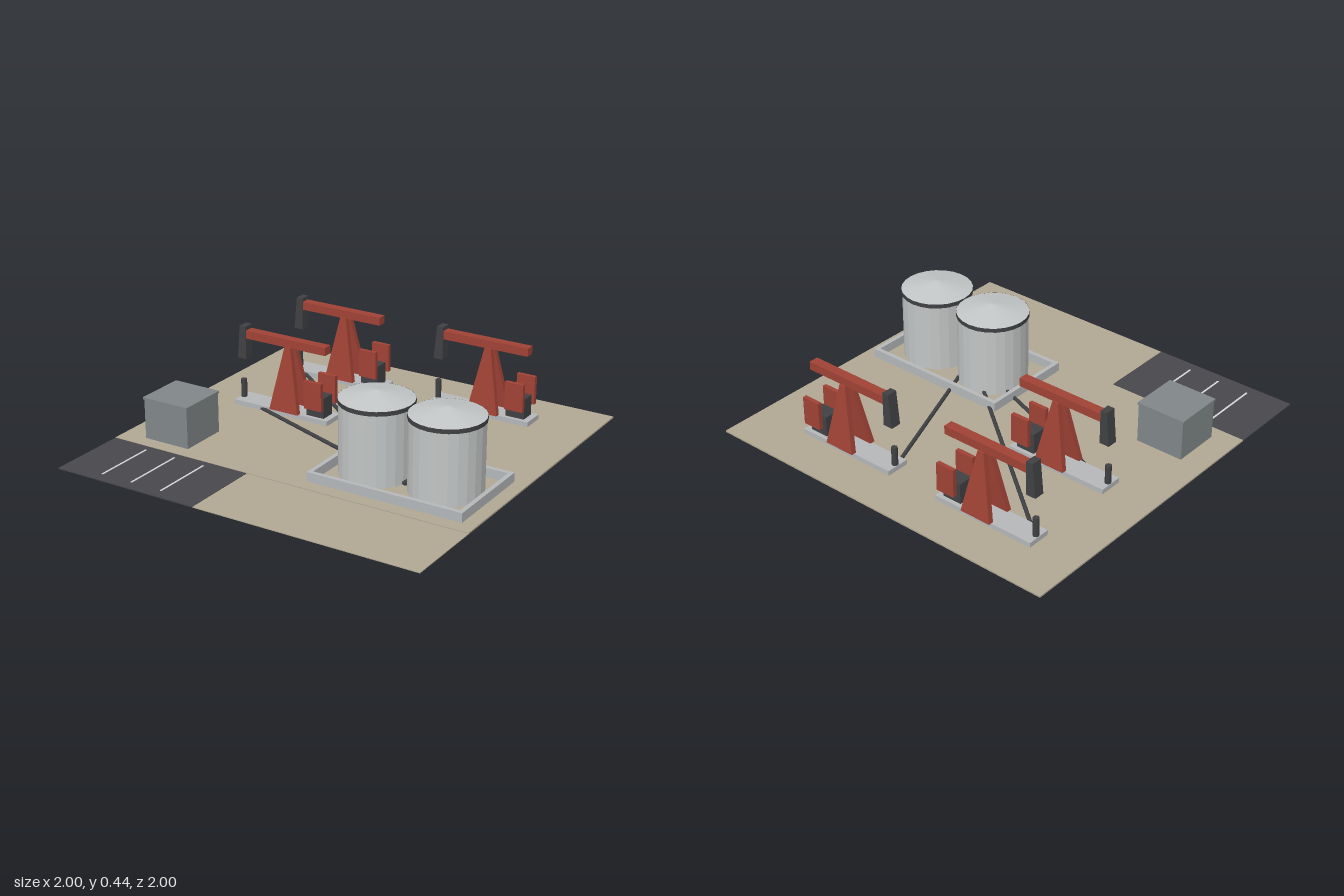
import * as THREE from 'three';

const mat = (name, color, extra = {}) => {
  const m = new THREE.MeshStandardMaterial({ color, ...extra });
  m.name = name;
  return m;
};

export function createModel() {
  const M = {
    sand: mat('sand', 0xb0a792),
    asphalt: mat('asphalt', 0x48474c),
    paint: mat('linePaint', 0xd4d4d2),
    concrete: mat('concrete', 0xb4b7b9),
    red: mat('redSteel', 0xa04235),
    dark: mat('darkSteel', 0x404144),
    tank: mat('tankSteel', 0xc2c5c5, { flatShading: true }),
    shed: mat('shedGrey', 0x808788),
  };
  const root = new THREE.Group();
  root.name = 'oilField';

  const add = (parent, name, geo, material) => {
    const mesh = new THREE.Mesh(geo, material);
    mesh.name = name;
    parent.add(mesh);
    return mesh;
  };
  // box given by its limits on each axis
  const box = (parent, name, material, [x0, x1], [y0, y1], [z0, z1]) => {
    const mesh = add(parent, name, new THREE.BoxGeometry(x1 - x0, y1 - y0, z1 - z0), material);
    mesh.position.set((x0 + x1) / 2, (y0 + y1) / 2, (z0 + z1) / 2);
    return mesh;
  };
  const group = (name, x, z) => {
    const g = new THREE.Group();
    g.name = name;
    g.position.set(x, 0, z);
    root.add(g);
    return g;
  };

  // Ground tiles and parking lot
  box(root, 'ground', M.sand, [-1, 1], [0, 0.008], [-1, 0.57]);
  box(root, 'frontGround', M.sand, [-0.2, 1], [0, 0.004], [0.57, 1]);
  box(root, 'parkingLot', M.asphalt, [-1, -0.2], [0, 0.006], [0.57, 1]);
  for (const x of [-0.775, -0.6, -0.425])
    box(root, 'parkingLine', M.paint, [x - 0.005, x + 0.005], [0.006, 0.008], [0.61, 0.945]);

  // Shed
  box(root, 'shedWalls', M.shed, [-0.865, -0.605], [0.006, 0.217], [0.235, 0.495]);
  box(root, 'shedRoof', M.shed, [-0.87, -0.6], [0.217, 0.228], [0.23, 0.5]);

  // Tapered leg leaning in toward the beam
  const legGeometry = (side) => {
    const geo = new THREE.BoxGeometry(1, 1, 1);
    const p = geo.attributes.position;
    for (let i = 0; i < p.count; i++) {
      const t = p.getY(i) + 0.5;
      p.setXYZ(i,
        p.getX(i) * THREE.MathUtils.lerp(0.172, 0.035, t),
        0.034 + 0.338 * t,
        p.getZ(i) * 0.028 + side * THREE.MathUtils.lerp(0.064, 0.019, t));
    }
    geo.computeVertexNormals();
    return geo;
  };

  // Slanted head profile at the end of the beam
  const headShape = new THREE.Shape([
    [-0.285, 0.257], [-0.232, 0.257], [-0.232, 0.435], [-0.268, 0.435],
  ].map(([x, y]) => new THREE.Vector2(x, y)));

  const wellX = -0.268;
  const pumpJack = (x, z) => {
    const g = group('pumpJack', x, z);
    box(g, 'pad', M.concrete, [-0.285, 0.285], [0.002, 0.034], [-0.063, 0.063]);
    for (const s of [-1, 1]) {
      add(g, 'leg', legGeometry(s), M.red).position.x = 0.029;
      const w = s * 0.067;
      box(g, 'counterweight', M.red, [0.157, 0.26], [0.085, 0.235], [w - 0.011, w + 0.011]);
    }
    box(g, 'beam', M.red, [-0.232, 0.252], [0.37, 0.414], [-0.025, 0.025]);
    const head = new THREE.ExtrudeGeometry(headShape, { depth: 0.056, bevelEnabled: false });
    add(g, 'beamHead', head, M.dark).position.z = -0.028;
    box(g, 'motor', M.dark, [0.148, 0.252], [0.034, 0.143], [-0.041, 0.041]);
    const well = add(g, 'wellhead', new THREE.CylinderGeometry(0.016, 0.016, 0.1, 8), M.dark);
    well.position.set(wellX, 0.083, 0);
  };

  // Pump jacks, each with a pipe to the tanks
  const pipeEnd = new THREE.Vector3(0.515, 0.017, 0.29);
  for (const [x, z] of [[-0.465, -0.702], [-0.465, -0.17], [0.402, -0.702]]) {
    pumpJack(x, z);
    const start = new THREE.Vector3(x + wellX, 0.017, z);
    const pipe = add(root, 'pipe',
      new THREE.CylinderGeometry(0.01, 0.01, start.distanceTo(pipeEnd), 8), M.dark);
    pipe.position.copy(start).lerp(pipeEnd, 0.5);
    pipe.quaternion.setFromUnitVectors(new THREE.Vector3(0, 1, 0),
      pipeEnd.clone().sub(start).normalize());
  }

  // Containment wall around the tanks
  const rect = (C, x0, x1, z0, z1) => new C([
    [x0, -z1], [x1, -z1], [x1, -z0], [x0, -z0],
  ].map(([x, y]) => new THREE.Vector2(x, y)));
  const wall = rect(THREE.Shape, 0.095, 0.928, -0.018, 0.497);
  wall.holes.push(rect(THREE.Path, 0.118, 0.905, 0.005, 0.474));
  const wallGeo = new THREE.ExtrudeGeometry(wall, { depth: 0.053, bevelEnabled: false });
  wallGeo.rotateX(-Math.PI / 2);
  add(root, 'containmentWall', wallGeo, M.concrete).position.y = 0.003;

  // Storage tanks
  for (const x of [0.323, 0.703]) {
    const g = group('tank', x, 0.238);
    add(g, 'tankBody', new THREE.CylinderGeometry(0.182, 0.182, 0.382, 24), M.tank).position.y = 0.197;
    add(g, 'tankRim', new THREE.CylinderGeometry(0.187, 0.187, 0.022, 24), M.dark).position.y = 0.386;
    add(g, 'tankRoof', new THREE.ConeGeometry(0.186, 0.04, 24), M.tank).position.y = 0.417;
  }

  return root;
}
